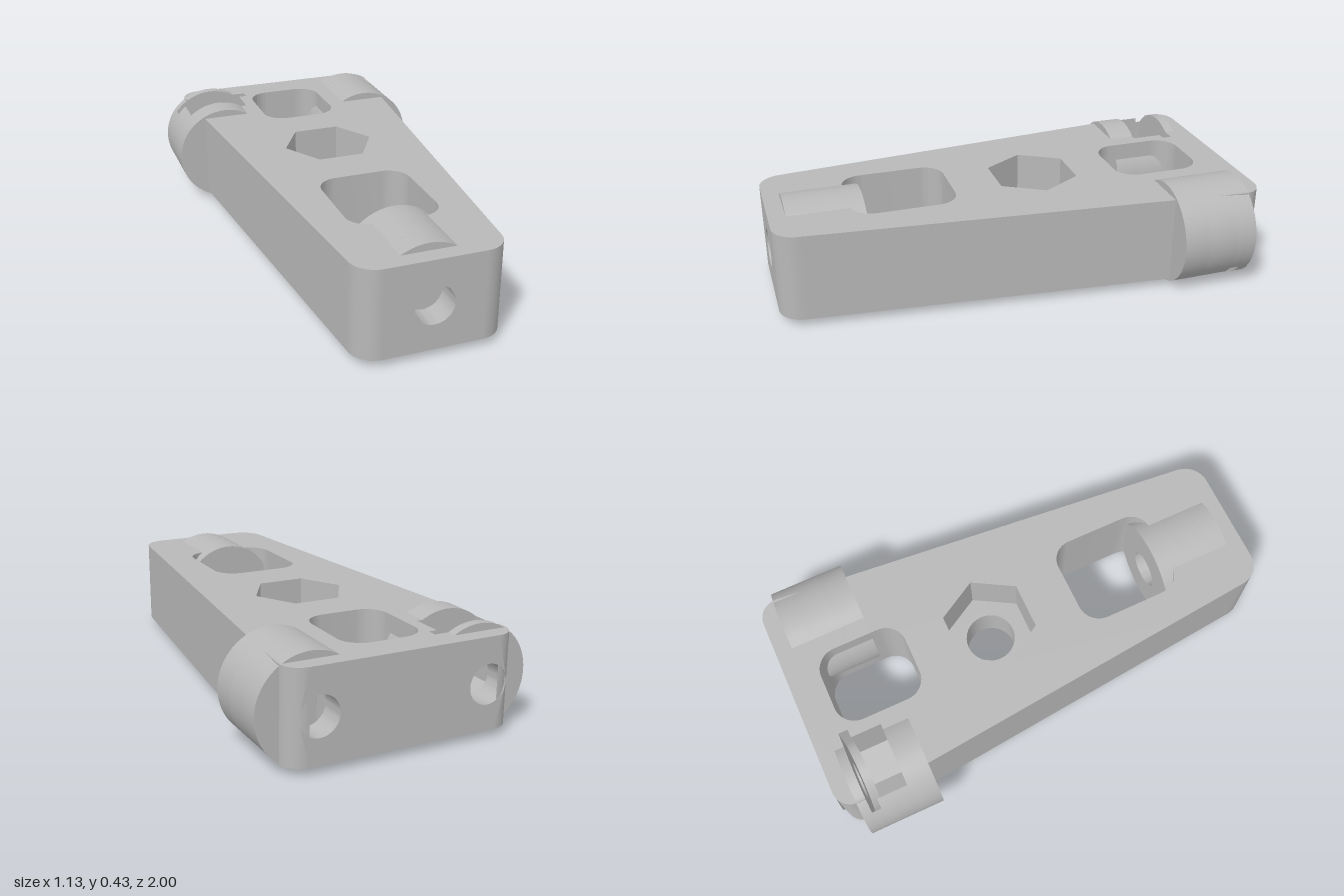
import * as THREE from 'three';
import { toCreasedNormals } from 'three/addons/utils/BufferGeometryUtils.js';

const C = 0.217;          // height of the bolt axes
const H = 0.185;          // half thickness of the body
const R = 0.216;          // boss radius
const BOLT = 0.08;        // bolt hole radius
const CORNER = 0.09;

const round = (d) => {    // inset of a rounded corner at distance d from its end
  const k = CORNER - Math.min(Math.max(d, 0), CORNER);
  return CORNER - Math.sqrt(CORNER * CORNER - k * k);
};
const outline = (z) => 0.385 - 0.095 * z - round(1 - Math.abs(z));
const window_ = (z) => (z < 0 ? 0.165 - round(z + 0.865) : 0.19 - round(0.67 - z));

// Upper edge of a slot that opens downwards, from left to right
function slotPath(type) {
  if (type === 'nut') return [[-0.135, 0.078], [0, 0.156], [0.135, 0.078]];
  const pts = [];
  for (let i = 0; i <= 20; i++) {
    const a = Math.PI * (1 - i / 20);
    pts.push([0.17 * Math.cos(a), 0.17 * Math.sin(a)]);
  }
  return pts;
}

const toShape = (pts) => new THREE.Shape(pts.map(([x, y]) => new THREE.Vector2(x, y)));

function addBolt(shape, cx) {
  shape.holes.push(new THREE.Path().absarc(cx, 0, BOLT, 0, Math.PI * 2, true));
  return shape;
}

// Body cross-section from xi to xo with a bolt hole or slot at cx
function bodySection(type, cx, xi, xo) {
  const box = [[xi, -H], [xo, -H], [xo, H], [xi, H]];
  if (type === 'solid') return toShape(box);
  if (type === 'bolt') return addBolt(toShape(box), cx);
  const path = slotPath(type).map(([x, y]) => [x + cx, y]);
  const pts = [[xi, -H], [path[0][0], -H]];
  const cross = path.findIndex(([x]) => x >= xo);
  if (cross < 0) {
    pts.push(...path, [path[path.length - 1][0], -H], [xo, -H]);
  } else {
    const a = path[cross - 1], b = path[cross];
    const t = (xo - a[0]) / (b[0] - a[0]);
    pts.push(...path.slice(0, cross), [xo, a[1] + t * (b[1] - a[1])]);
  }
  pts.push([xo, H], [xi, H]);
  return toShape(pts);
}

// Boss cross-section with the matching bolt hole or slot
function bossSection(type, cx) {
  if (type === 'bolt') return addBolt(new THREE.Shape().absarc(cx, 0, R, 0, Math.PI * 2), cx);
  const path = slotPath(type);
  const w = path[path.length - 1][0];
  const a0 = -Math.acos(w / R), a1 = Math.PI - a0;
  const pts = [];
  for (let i = 0; i <= 48; i++) {
    const a = a0 + (a1 - a0) * i / 48;
    pts.push([cx + R * Math.cos(a), R * Math.sin(a)]);
  }
  path.forEach(([x, y]) => pts.push([cx + x, y]));
  return toShape(pts);
}

// Extrude along z, then bend the side walls to the outline; ease crowds steps at one end
function slab(shape, z0, z1, { steps = 1, ease = 0, xi, xo } = {}) {
  const g = new THREE.ExtrudeGeometry(shape, { depth: 1, steps, bevelEnabled: false, curveSegments: 32 });
  const p = g.attributes.position;
  for (let i = 0; i < p.count; i++) {
    let t = p.getZ(i);
    if (ease > 0) t = t * t;
    if (ease < 0) t = 1 - (1 - t) * (1 - t);
    const z = z0 + (z1 - z0) * t, x = p.getX(i);
    p.setZ(i, z);
    if (xo !== undefined && Math.abs(x - xo) < 1e-5) p.setX(i, outline(z));
    else if (xi < 0 && Math.abs(x - xi) < 1e-5) p.setX(i, -outline(z));
    else if (xi > 0 && Math.abs(x - xi) < 1e-5) p.setX(i, window_(z));
  }
  return toCreasedNormals(g, 0.5);
}

// Middle of the body, with half of each window cut into its ends
function middleShape(hole) {
  const s = new THREE.Shape();
  const zf = 0.57, zb = -0.61, r = CORNER, wf = outline(zf), wb = outline(zb);
  s.moveTo(0.19, -zf);
  s.lineTo(wf, -zf);
  s.lineTo(wb, -zb);
  s.lineTo(0.165, -zb);
  s.absarc(0.165 - r, 0.49 + r, r, 0, -Math.PI / 2, true);
  s.absarc(-0.165 + r, 0.49 + r, r, -Math.PI / 2, -Math.PI, true);
  s.lineTo(-0.165, -zb);
  s.lineTo(-wb, -zb);
  s.lineTo(-wf, -zf);
  s.lineTo(-0.19, -zf);
  s.absarc(-0.19 + r, -0.23 - r, r, Math.PI, Math.PI / 2, true);
  s.absarc(0.19 - r, -0.23 - r, r, Math.PI / 2, 0, true);
  s.closePath();
  s.holes.push(hole);
  return s;
}

export function createModel() {
  const model = new THREE.Group();
  model.name = 'taperedBracket';
  const grey = new THREE.MeshStandardMaterial({ color: 0xb8b8b8 });
  grey.name = 'grey';

  const add = (name, geometry, turned = false) => {
    const m = new THREE.Mesh(geometry, grey);
    m.name = name;
    m.position.y = C;
    if (turned) m.rotation.z = Math.PI;
    model.add(m);
  };

  // Middle body: round hole below, hexagonal pocket above
  const layer = (hole, y0, y1) => {
    const g = new THREE.ExtrudeGeometry(middleShape(hole), { depth: y1 - y0, bevelEnabled: false, curveSegments: 16 });
    g.rotateX(-Math.PI / 2);
    g.translate(0, y0, 0);
    return toCreasedNormals(g, 0.5);
  };
  const hex = new THREE.Path();
  for (let i = 0; i <= 6; i++) {
    const a = -i * Math.PI / 3, x = 0.195 * Math.cos(a), y = 0.14 + 0.195 * Math.sin(a);
    if (i) hex.lineTo(x, y); else hex.moveTo(x, y);
  }
  add('middleLower', layer(new THREE.Path().absarc(0, 0.14, 0.105, 0, Math.PI * 2, true), -H, -0.02));
  add('middleUpper', layer(hex, -0.02, H));

  // Back end: one half, turned about the long axis for the other side
  const back = [
    [-1, -0.89, 'bolt', 10, 1, 0],
    [-0.89, -0.865, 'washer', 1, 0, 0],
    [-0.865, -0.85, 'washer', 4, 1, 0.165],
    [-0.85, -0.72, 'nut', 8, 0, 0.165],
    [-0.72, -0.61, 'bolt', 1, 0, 0.165],
  ];
  const backBoss = [[-0.93, -0.89, 'bolt'], [-0.89, -0.85, 'washer'], [-0.85, -0.72, 'nut'], [-0.72, -0.61, 'bolt']];
  for (const turned of [false, true]) {
    const side = turned ? 'Right' : 'Left';
    for (const [z0, z1, type, steps, ease, xi] of back) {
      add('backBody' + side, slab(bodySection(type, 0.35, xi, 0.46), z0, z1, { steps, ease, xi, xo: 0.46 }), turned);
    }
    for (const [z0, z1, type] of backBoss) add('backBoss' + side, slab(bossSection(type, 0.35), z0, z1), turned);
    // Walls beside the rounded end of the front window
    add('frontWall' + side, slab(bodySection('solid', 0, 0.19, 0.32), 0.57, 0.67,
      { steps: 8, ease: -1, xi: 0.19, xo: 0.32 }), turned);
  }

  // Front end with its nut slot opening below
  const front = [
    [0.67, 0.72, 'bolt', 1, 0],
    [0.72, 0.84, 'nut', 1, 0],
    [0.84, 0.89, 'washer', 1, 0],
    [0.89, 1, 'bolt', 10, -1],
  ];
  for (const [z0, z1, type, steps, ease] of front) {
    add('frontBody', slab(bodySection(type, 0, -0.3, 0.3), z0, z1, { steps, ease, xi: -0.3, xo: 0.3 }));
    add('frontBoss', slab(bossSection(type, 0), z0 === 0.67 ? 0.61 : z0, Math.min(z1, 0.93)));
  }
  return model;
}
